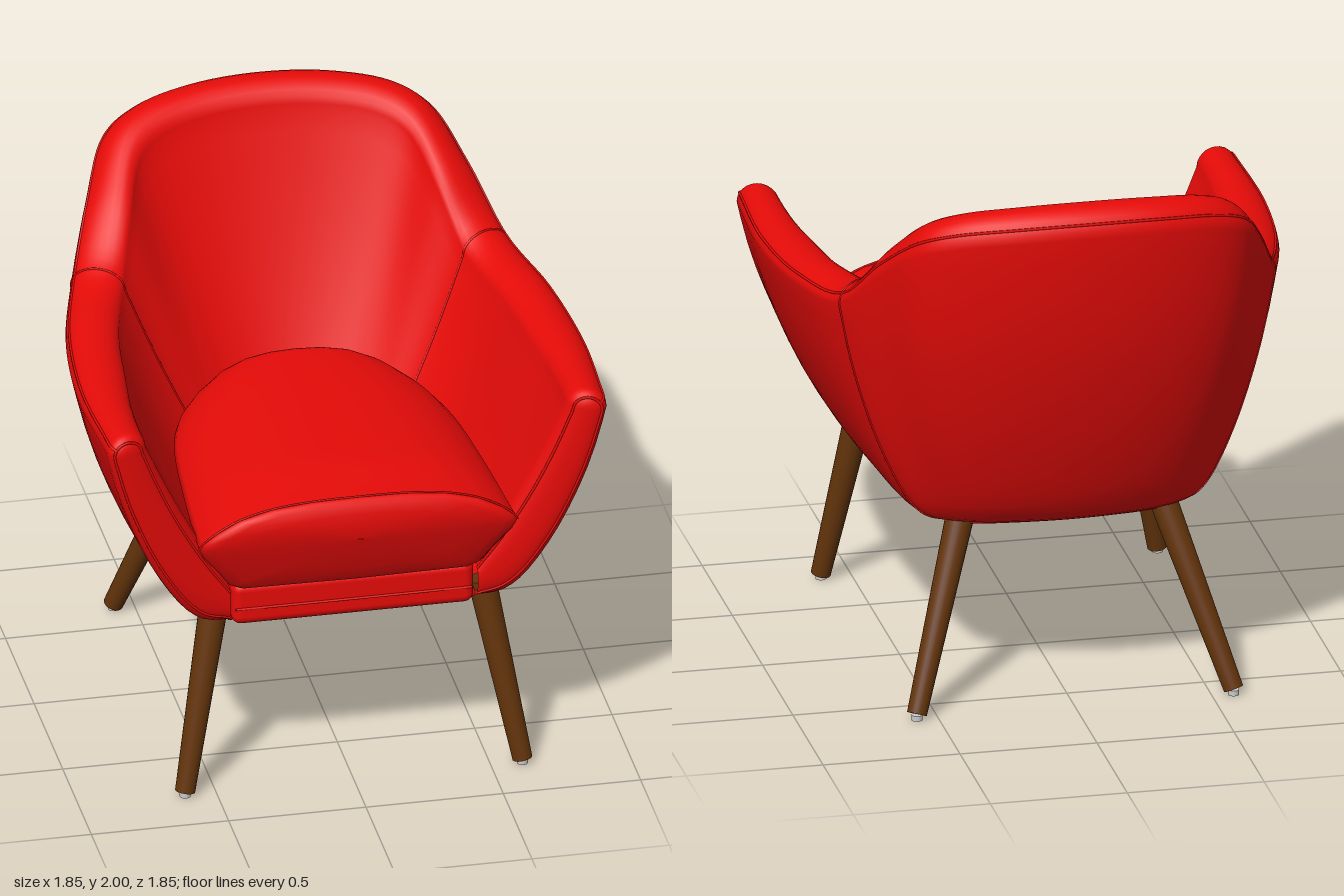
import * as THREE from 'three';
import { RoundedBoxGeometry } from 'three/addons/geometries/RoundedBoxGeometry.js';

const V = (x, y, z) => new THREE.Vector3(x, y, z);
const { smoothstep } = THREE.MathUtils;
const red = new THREE.MeshStandardMaterial({ color: 0xe60b08, side: THREE.DoubleSide });
const wood = new THREE.MeshStandardMaterial({ color: 0x63340b });
const grey = new THREE.MeshStandardMaterial({ color: 0xcccccc });

function mesh(name, geometry, material = red) {
  const m = new THREE.Mesh(geometry, material);
  m.name = name;
  return m;
}

// Skin a list of equally long point rows.
function loft(rows, closed = false) {
  const n = rows[0].length, index = [];
  for (let j = 0; j < rows.length - 1; j++) {
    for (let i = 0; i < (closed ? n : n - 1); i++) {
      const i2 = (i + 1) % n;
      const a = j * n + i, b = a + n, c = j * n + i2, d = c + n;
      index.push(a, b, c, c, b, d);
    }
  }
  const g = new THREE.BufferGeometry().setFromPoints(rows.flat());
  g.setIndex(index);
  g.computeVertexNormals();
  return g;
}

const piping = (name, points, radius = 0.005) =>
  mesh(name, new THREE.TubeGeometry(new THREE.CatmullRomCurve3(points), points.length * 3, radius, 6));

// Stations from the arm front to the middle of the back:
// outer rim x, z, rim height, underside x, z, inner seat edge x, z
const STATIONS = [
  [0.91, 0.832, 1.515, 0.45, 0.74, 0.45, 0.745],
  [0.925, 0.4, 1.51, 0.45, 0.4, 0.45, 0.4],
  [0.885, 0, 1.525, 0.44, 0, 0.4, 0.02],
  [0.795, -0.34, 1.57, 0.42, -0.41, 0.31, -0.13],
  [0.7, -0.56, 1.765, 0.37, -0.44, 0.26, -0.19],
  [0.605, -0.745, 1.908, 0.28, -0.465, 0.2, -0.235],
  [0.49, -0.83, 1.96, 0.21, -0.475, 0.16, -0.265],
  [0.27, -0.9, 1.99, 0.11, -0.485, 0.09, -0.29],
  [0, -0.925, 2.0, 0, -0.49, 0, -0.3],
];
const mirrored = STATIONS.slice(0, -1).reverse()
  .map(([a, b, c, d, e, f, g]) => [-a, b, c, -d, e, -f, g]);
const ALL = [...STATIONS, ...mirrored];
// The underside sags slightly towards the middle.
const sag = z => 0.05 * (z - 0.05) ** 2;
const rimCurve = new THREE.CatmullRomCurve3(ALL.map(s => V(s[0], s[2], s[1])));
const underCurve = new THREE.CatmullRomCurve3(ALL.map(s => V(s[3], 0.658 + sag(s[4]), s[4])));
const innerCurve = new THREE.CatmullRomCurve3(ALL.map(s => V(s[5], 0.83, s[6])));
// Outer wall: outward fraction against height fraction
const wall = new THREE.SplineCurve([[0, 0], [0.21, 0.025], [0.4, 0.13], [0.62, 0.36], [0.83, 0.68], [1, 1]]
  .map(p => new THREE.Vector2(...p)));
const N = 16, RIM = 12, PER_SEGMENT = 6;
const SAMPLES = (ALL.length - 1) * PER_SEGMENT;

// One cross-section: up the outside, over the rim, down the inside.
function section(t) {
  const T = rimCurve.getPoint(t), B = underCurve.getPoint(t), I = innerCurve.getPoint(t);
  const inward = V(I.x - T.x, 0, I.z - T.z).normalize();
  const backness = smoothstep(T.y, 1.53, 1.95);
  const width = 0.15 + 0.045 * (1 - smoothstep(T.z, 0.2, 0.84)), rise = 0.07 + 0.03 * backness;
  const E = T.clone().setY(T.y - rise);
  const pts = [];
  for (let i = 0; i < N; i++) {
    const p = wall.getPoint(i / (N - 1));
    const out = p.x + (0.05 + 0.07 * backness) * p.y * Math.sin(Math.PI * p.y);
    pts.push(V(B.x + (E.x - B.x) * out, B.y + (E.y - B.y) * p.y, B.z + (E.z - B.z) * out));
  }
  for (let i = 1; i < RIM; i++) {
    const a = Math.PI * i / RIM;
    pts.push(E.clone().addScaledVector(inward, width * (1 - Math.cos(a)) / 2)
      .setY(E.y + rise * Math.sin(a)));
  }
  const F = E.clone().addScaledVector(inward, width);
  for (let i = 0; i < N; i++) {
    const f = i / (N - 1), p = F.clone().lerp(I, f);
    p.addScaledVector(inward, -0.015 * Math.sin(Math.PI * f));
    pts.push(p);
  }
  return pts;
}

// Rounded arm front: rings pulled forward and closed onto their midline.
function armFront(ring) {
  const steps = [0.2, 0.4, 0.6, 0.8, 1].map(s => s * Math.PI / 2)
    .map(a => [0.72 * (1 - Math.cos(a)), 0.053 * Math.sin(a)]);
  steps.push([0.85, 0.054], [1, 0.054]);
  const rimBase = ring[N - 1].y;
  return steps.map(([k, dz]) => ring.map((p, i) => {
    const mid = p.clone().add(ring[ring.length - 1 - i]).multiplyScalar(0.5);
    mid.y = Math.min(mid.y, rimBase);
    return p.clone().lerp(mid, k).add(V(0, 0, dz));
  }));
}

function buildShell() {
  const g = new THREE.Group();
  g.name = 'shell';
  const rows = Array.from({ length: SAMPLES + 1 }, (_, j) => section(j / SAMPLES));
  const left = armFront(rows[0]), right = armFront(rows[SAMPLES]);
  const all = [...left.slice().reverse(), ...rows, ...right];
  g.add(mesh('backAndArms', loft(all)));
  g.add(piping('rimPiping', all.slice(4, -4).map(r => r[N + 1])));
  g.add(piping('leftArmFrontPiping', left[2]), piping('rightArmFrontPiping', right[2]));
  // Seams where the arms join the back
  const seam = 3 * PER_SEGMENT;
  g.add(piping('leftSeam', rows[seam], 0.004), piping('rightSeam', rows[SAMPLES - seam], 0.004));
  return g;
}

function buildUnderside() {
  const outline = underCurve.getPoints(64).map(p => new THREE.Vector2(p.x * 0.99, -p.z));
  const geo = new THREE.ExtrudeGeometry(new THREE.Shape(outline),
    { depth: 0.015, bevelThickness: 0.008, bevelSize: 0.004, bevelSegments: 2 });
  geo.rotateX(-Math.PI / 2).translate(0, 0.654, 0);
  const pos = geo.attributes.position;
  for (let i = 0; i < pos.count; i++) pos.setY(i, pos.getY(i) + sag(pos.getZ(i)));
  geo.computeVertexNormals();
  return mesh('underside', geo);
}

// Seat cushion: lens-shaped sections swept from the front to a rounded back.
function buildCushion() {
  const half = [[0, 1.21], [0.3, 1.205], [0.55, 1.188], [0.75, 1.155], [0.9, 1.105], [0.98, 1.06], [1, 1.035],
    [0.97, 0.995], [0.87, 0.92], [0.79, 0.85], [0.72, 0.83], [0.35, 0.83], [0, 0.83]];
  const profile = [...half, ...half.slice(1, -1).reverse().map(([x, y]) => [-x, y])];
  // The front face leans back below its widest line and a little above it.
  const ring = (z, w, kTop, kBottom, lean) => profile.map(([px, py]) => {
    const x = px * w, y = 1.04 + (py - 1.04) * (py > 1.04 ? kTop : kBottom);
    const back = 0.08 * Math.pow(Math.max(0, 1.1 - y) / 0.27, 1.3) + 0.2 * Math.max(0, y - 1.12);
    return V(x, y, z - lean * (back + 0.02 * Math.abs(x)));
  });
  const widths = new THREE.SplineCurve([[0.89, 0.58], [0.5, 0.555], [0.15, 0.52], [-0.05, 0.47],
    [-0.18, 0.395], [-0.27, 0.28], [-0.315, 0.15], [-0.33, 0.01]].map(p => new THREE.Vector2(...p)));
  const rows = widths.getPoints(42).map(({ x: z, y: w }) => {
    const k = z < -0.2 ? 1 - 0.5 * Math.pow((-0.2 - z) / 0.13, 2) : 1;
    return ring(z, w, k - 0.1 * smoothstep(z, 0.6, 0.89), k, smoothstep(z, 0.3, 0.89));
  });
  const front = [[0.922, 0.01, 0.01, 0.01], [0.921, 0.2, 0.3, 0.3], [0.919, 0.4, 0.6, 0.65],
    [0.914, 0.52, 0.8, 0.88], [0.906, 0.565, 0.87, 0.97]]
    .map(([z, w, kTop, kBottom]) => ring(z, w, kTop, kBottom, 1));
  const g = new THREE.Group();
  g.name = 'cushion';
  g.add(mesh('seatCushion', loft([...front, ...rows], true)));
  const edge = rows[0].filter(p => p.y > 1.03).sort((a, b) => a.x - b.x);
  g.add(piping('cushionPiping', edge, 0.004));
  return g;
}

// Round tapered leg with a small glide underneath
function buildLeg(name, top, bottom) {
  const g = new THREE.Group();
  g.name = name;
  const dir = top.clone().sub(bottom);
  const leg = mesh('leg', new THREE.CylinderGeometry(0.052, 0.036, dir.length(), 24), wood);
  leg.position.copy(top).add(bottom).multiplyScalar(0.5);
  leg.quaternion.setFromUnitVectors(V(0, 1, 0), dir.normalize());
  const glide = mesh('glide', new THREE.CylinderGeometry(0.02, 0.02, 0.02, 16), grey);
  glide.position.set(bottom.x, 0.01, bottom.z);
  g.add(leg, glide);
  return g;
}

export function createModel() {
  const model = new THREE.Group();
  model.name = 'armchair';
  model.add(buildShell(), buildUnderside(), buildCushion());

  const rail = mesh('seatBase', new RoundedBoxGeometry(0.88, 0.17, 1.05, 4, 0.035));
  rail.position.set(0, 0.75, 0.265);
  model.add(rail, piping('frontRailPiping', [V(-0.43, 0.735, 0.79), V(0, 0.735, 0.791), V(0.43, 0.735, 0.79)]));

  for (const [side, s] of [['Left', 1], ['Right', -1]]) {
    model.add(buildLeg('front' + side + 'Leg', V(0.487 * s, 0.71, 0.68), V(0.614 * s, 0.02, 0.786)));
    model.add(buildLeg('back' + side + 'Leg', V(0.36 * s, 0.71, -0.4), V(0.578 * s, 0.022, -0.64)));
  }
  return model;
}
